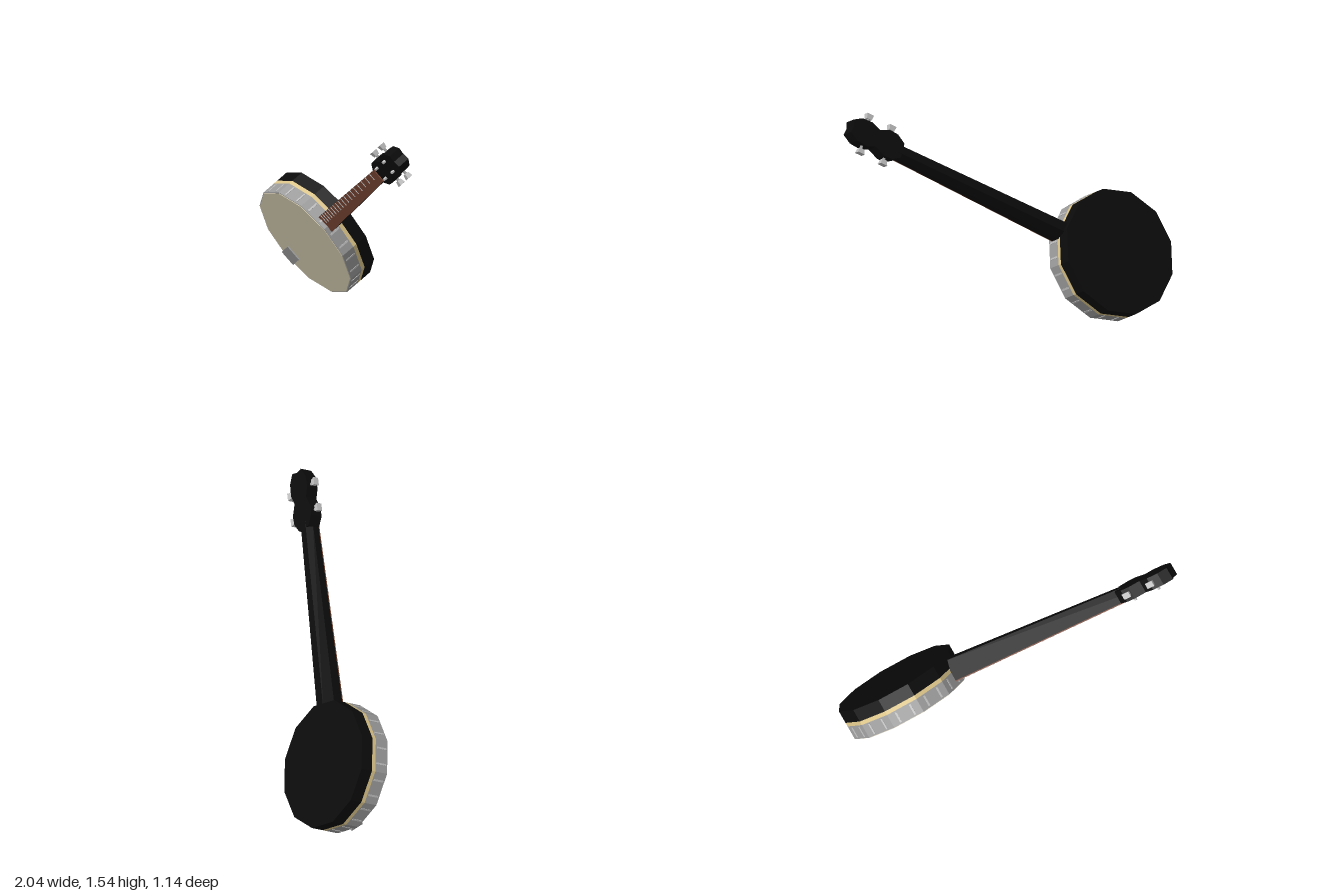
import * as THREE from 'three';

const mat = (name, color) => {
  const m = new THREE.MeshStandardMaterial({ color });
  m.name = name;
  return m;
};

export function createModel() {
  const black = mat('blackLacquer', 0x0b0b0b);
  const skinMat = mat('drumSkin', 0xd3c9b0);
  const metal = mat('greyMetal', 0x9a9a9a);
  const light = mat('lightMetal', 0xbdbdbd);
  const gold = mat('creamBinding', 0xdcc58a);
  const brown = mat('brownWood', 0x7a4734);

  const root = new THREE.Group();
  root.name = 'banjo';
  // Local frame: y runs along the neck, z faces out of the drum skin
  const inst = new THREE.Group();
  inst.name = 'instrument';
  root.add(inst);
  const u = new THREE.Vector3(1, 0.68, 0.49).normalize();
  const n = new THREE.Vector3(-0.1, -0.46, 0.88);
  n.addScaledVector(u, -n.dot(u)).normalize();
  const x = new THREE.Vector3().crossVectors(u, n);
  inst.quaternion.setFromRotationMatrix(new THREE.Matrix4().makeBasis(x, u, n));
  inst.position.set(-0.605, 0.372, -0.187);

  const add = (name, geo, material, px = 0, py = 0, pz = 0, parent = inst) => {
    const flat = geo.index ? geo.toNonIndexed() : geo;
    flat.computeVertexNormals();
    const m = new THREE.Mesh(flat, material);
    m.name = name;
    m.position.set(px, py, pz);
    parent.add(m);
    return m;
  };

  // Drum: stacked twelve-sided discs, listed from front to back
  const drum = new THREE.Group();
  drum.name = 'drum';
  drum.rotation.z = -0.05;
  inst.add(drum);
  const disc = (name, r, front, back, sides, material) => {
    const g = new THREE.CylinderGeometry(r, r, front - back, sides);
    g.rotateX(Math.PI / 2);
    add(name, g, material, 0, 0, (front + back) / 2, drum);
  };
  const R = 0.415;
  disc('skin', R * 0.985, 0.004, -0.004, 12, skinMat);
  disc('rim', R, 0, -0.095, 12, metal);
  disc('binding', R, -0.095, -0.122, 12, gold);
  disc('resonator', R, -0.122, -0.207, 12, black);

  // Tension hooks around the rim, two on each side face
  const apothem = R * Math.cos(Math.PI / 12);
  for (let i = 0; i < 12; i++) {
    const side = new THREE.Group();
    side.name = 'hookPair';
    side.rotation.z = ((i + 0.5) * Math.PI) / 6;
    drum.add(side);
    for (const s of [-1, 1]) {
      add('hook', new THREE.BoxGeometry(0.012, 0.006, 0.075), light, s * 0.052, apothem, -0.048, side);
    }
  }

  // Tailpiece
  add('tailpiece', new THREE.BoxGeometry(0.11, 0.14, 0.012), metal, 0, -0.335, 0.006);

  // Neck: tapers towards the head and narrows towards its back
  const y0 = 0.36, y1 = 1.71;
  const widthAt = (y) => THREE.MathUtils.lerp(0.127, 0.095, (y - y0) / (y1 - y0));
  const neckGeo = new THREE.BoxGeometry(1, 1, 1, 1, 1, 2);
  const p = neckGeo.attributes.position;
  for (let i = 0; i < p.count; i++) {
    const t = p.getY(i) + 0.5;
    const depth = 0.5 - p.getZ(i);
    const y = THREE.MathUtils.lerp(y0, y1, t);
    const shrink = depth > 0.9 ? 0.5 : 1;
    p.setXYZ(i, p.getX(i) * widthAt(y) * shrink, y, -0.036 - depth * THREE.MathUtils.lerp(0.14, 0.085, t));
  }
  add('neck', neckGeo, black);

  // Fretboard
  const boardGeo = new THREE.BoxGeometry(1, y1 - y0 - 0.02, 0.007);
  const b = boardGeo.attributes.position;
  for (let i = 0; i < b.count; i++) {
    const y = b.getY(i) + (y0 + y1) / 2;
    b.setXY(i, b.getX(i) * widthAt(y), y);
  }
  add('fretboard', boardGeo, brown, 0, 0, -0.0325);

  // Frets, closer together towards the drum
  const scale = 1.95;
  for (let i = 1; i <= 18; i++) {
    const y = y1 - scale * (1 - Math.pow(2, -i / 12));
    if (y < 0.43) break;
    const w = widthAt(y);
    add('fret', new THREE.BoxGeometry(w * 0.5, 0.007, 0.004), light, -w * 0.24, y, -0.028);
  }

  // Head: mirrored outline with two lobes
  const half = [[0.05, 1.67], [0.088, 1.73], [0.092, 1.79], [0.06, 1.865], [0.085, 1.93], [0.08, 2.01], [0.045, 2.07]];
  const outline = [...half, [0, 2.06], ...half.slice().reverse().map(([a, c]) => [-a, c])];
  const headShape = new THREE.Shape(outline.map(([a, c]) => new THREE.Vector2(a, c)));
  add('head', new THREE.ExtrudeGeometry(headShape, { depth: 0.085, bevelEnabled: false }), black, 0, 0, -0.12);

  // Tuners: a post, a shaft and a flared knob on each side
  for (const y of [1.77, 1.95]) {
    for (const s of [-1, 1]) {
      const post = new THREE.CylinderGeometry(0.011, 0.011, 0.03, 6);
      post.rotateX(Math.PI / 2);
      add('tunerPost', post, light, s * 0.042, y, -0.028);
      const shaft = new THREE.CylinderGeometry(0.01, 0.01, 0.06, 6);
      shaft.rotateZ(Math.PI / 2);
      add('tunerShaft', shaft, metal, s * 0.09, y, -0.085);
      const knob = new THREE.CylinderGeometry(0.036, 0.026, 0.034, 4);
      knob.rotateY(Math.PI / 4);
      knob.scale(1, 1, 0.75);
      knob.rotateZ((-s * Math.PI) / 2);
      add('tunerKnob', knob, light, s * 0.122, y, -0.085);
    }
  }
  return root;
}
